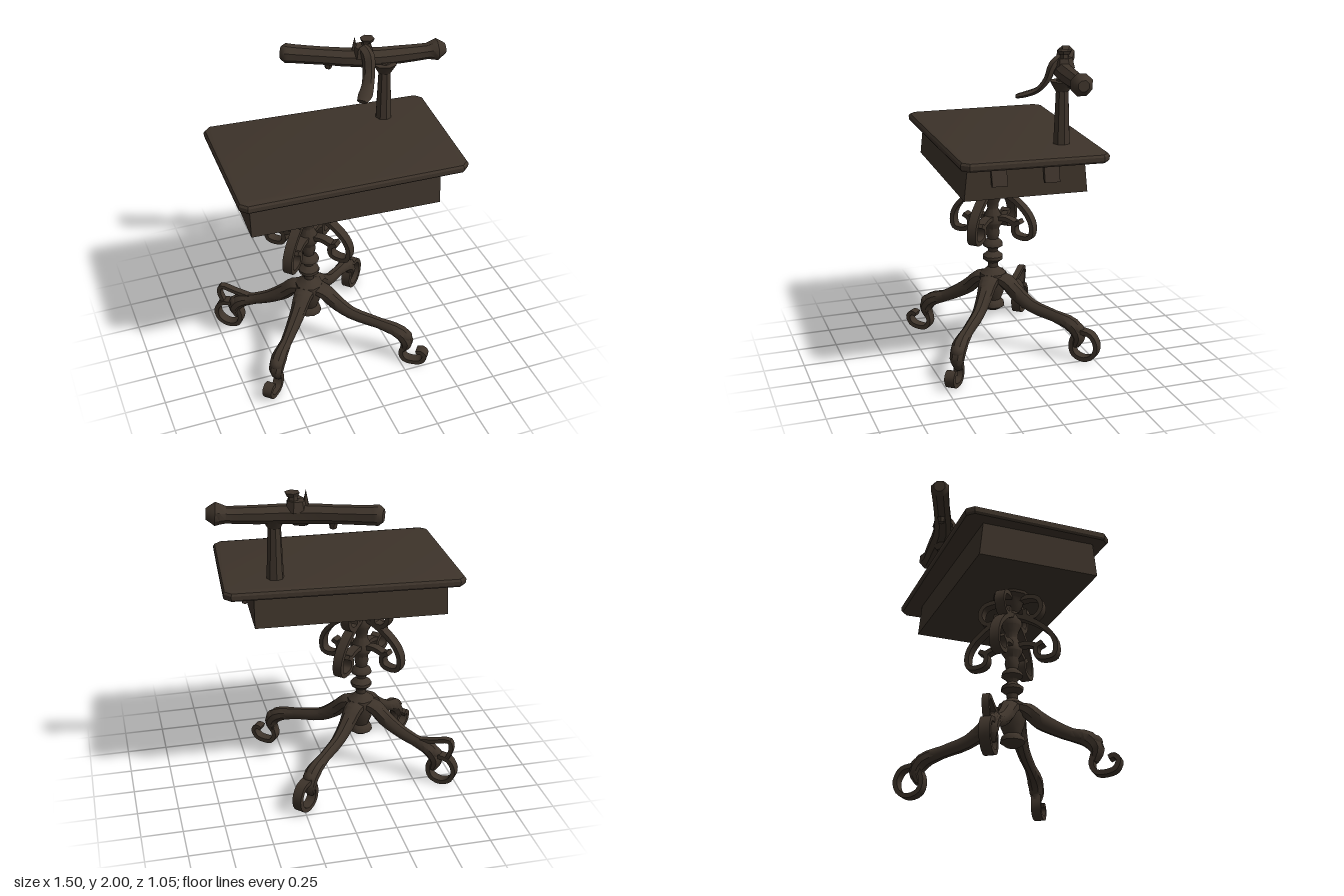
import * as THREE from 'three';
import { toCreasedNormals } from 'three/addons/utils/BufferGeometryUtils.js';

const V = (x, y, z = 0) => new THREE.Vector3(x, y, z);
const AXIS = V(-0.22, 0, 0.015); // pedestal axis

// Sweep a flattened polygon along a path; radii are given per path point.
function sweep(points, rN, rB, { sides = 6, steps = 4, b = V(0, 0, 1) } = {}) {
  const curve = new THREE.CatmullRomCurve3(points);
  const n = (points.length - 1) * steps, pos = [], idx = [];
  const radius = (r, t) => {
    if (typeof r === 'number') return r;
    const f = t * (r.length - 1), i = Math.min(Math.floor(f), r.length - 2);
    return THREE.MathUtils.lerp(r[i], r[i + 1], f - i);
  };
  const k = 1 / Math.cos(Math.PI / sides);
  for (let i = 0; i <= n; i++) {
    const t = i / n, p = curve.getPoint(t), tan = curve.getTangent(t);
    const nor = b.clone().cross(tan).normalize(), bin = tan.clone().cross(nor);
    for (let j = 0; j < sides; j++) {
      const a = ((j + 0.5) / sides) * Math.PI * 2;
      const q = p.clone().addScaledVector(nor, Math.cos(a) * radius(rN, t) * k)
        .addScaledVector(bin, Math.sin(a) * radius(rB, t) * k);
      pos.push(q.x, q.y, q.z);
    }
  }
  const c0 = (n + 1) * sides, c1 = c0 + 1, end = points[points.length - 1];
  pos.push(points[0].x, points[0].y, points[0].z, end.x, end.y, end.z);
  for (let j = 0; j < sides; j++) {
    const m = (j + 1) % sides;
    for (let i = 0; i < n; i++) {
      const a = i * sides, d = a + sides;
      idx.push(a + j, a + m, d + m, a + j, d + m, d + j);
    }
    idx.push(c0, m, j, c1, n * sides + j, n * sides + m);
  }
  const g = new THREE.BufferGeometry();
  g.setAttribute('position', new THREE.Float32BufferAttribute(pos, 3));
  g.setIndex(idx);
  return g;
}

export function createModel() {
  const model = new THREE.Group();
  const iron = new THREE.MeshStandardMaterial({ color: 0x3d332a });
  iron.name = 'darkBrown';

  const add = (parent, name, geo, crease = 0.75) => {
    const mesh = new THREE.Mesh(toCreasedNormals(geo, crease), iron);
    mesh.name = name;
    parent.add(mesh);
    return mesh;
  };
  const path = (list) => list.map((p) => V(...p));

  // Tabletop: slightly skewed slab with clipped corners and a bevelled rim
  const corners = [[-0.72, -0.48], [0.685, -0.395], [0.63, 0.465], [-0.745, 0.425]]
    .map(([x, z]) => new THREE.Vector2(x - Math.sign(x) * 0.03, -z + Math.sign(z) * 0.03));
  const outline = [];
  corners.forEach((c, i) => {
    for (const o of [corners[(i + 3) % 4], corners[(i + 1) % 4]])
      outline.push(c.clone().add(o.clone().sub(c).setLength(0.025)));
  });
  const top = new THREE.ExtrudeGeometry(new THREE.Shape(outline), {
    depth: 0.022, bevelSize: 0.03, bevelThickness: 0.018, bevelSegments: 2,
  });
  top.rotateX(-Math.PI / 2).translate(0, 1.423, 0);
  add(model, 'tabletop', top, 0.5);

  // Drawer box, narrowing toward the top
  const drawer = new THREE.Group();
  drawer.name = 'drawerBox';
  drawer.position.set(-0.085, 1.305, 0.018);
  drawer.rotation.y = -0.045;
  model.add(drawer);
  const box = new THREE.BoxGeometry(1.145, 0.21, 0.735);
  const bp = box.attributes.position;
  for (let i = 0; i < bp.count; i++) if (bp.getY(i) > 0) bp.setZ(i, bp.getZ(i) * 0.94);
  box.computeVertexNormals();
  add(drawer, 'drawerBody', box, 0.3);
  for (const z of [0.17, -0.14]) {
    const tab = add(drawer, 'sideLatch', new THREE.BoxGeometry(0.025, 0.12, 0.09), 0.3);
    tab.position.set(0.595, 0.035, z);
    tab.rotation.z = 0.25;
  }

  // Turned pedestal column
  const profile = [[0, 0.235], [0.04, 0.24], [0.075, 0.265], [0.07, 0.29], [0.05, 0.31], [0.07, 0.36],
    [0.09, 0.46], [0.085, 0.49], [0.06, 0.505], [0.032, 0.53], [0.035, 0.56], [0.066, 0.585], [0.066, 0.605],
    [0.03, 0.635], [0.035, 0.655], [0.066, 0.675], [0.062, 0.695], [0.035, 0.72], [0.045, 0.76], [0.04, 0.79],
    [0.065, 0.83], [0.06, 0.87], [0.035, 0.92], [0.04, 0.96], [0.06, 1.0], [0.06, 1.04], [0.038, 1.09],
    [0.065, 1.13], [0.08, 1.17], [0.11, 1.185], [0.115, 1.205], [0, 1.205]]
    .map(([r, y]) => new THREE.Vector2(r, y));
  add(model, 'pedestalColumn', new THREE.LatheGeometry(profile, 10)).position.copy(AXIS);

  // Four scrolled brackets around the upper column
  const ribbon = { sides: 4, steps: 3 };
  for (let i = 0; i < 4; i++) {
    const bracket = new THREE.Group();
    bracket.name = 'scrollBracket';
    bracket.position.copy(AXIS);
    bracket.rotation.y = Math.PI / 4 + (i * Math.PI) / 2;
    model.add(bracket);
    add(bracket, 'upperScroll', sweep(path([[0.04, 1.16], [0.11, 1.17], [0.175, 1.15], [0.195, 1.09],
      [0.16, 1.035], [0.1, 1.04], [0.09, 1.09]]), 0.014, 0.03, ribbon));
    add(bracket, 'lowerScroll', sweep(path([[0.03, 1.06], [0.1, 1.03], [0.18, 0.98], [0.25, 0.91], [0.28, 0.84],
      [0.27, 0.77], [0.22, 0.757], [0.165, 0.775], [0.16, 0.835], [0.2, 0.86]]), 0.014, 0.03, ribbon));
    add(bracket, 'scrollLink', sweep(path([[0.03, 0.86], [0.1, 0.865], [0.17, 0.84]]), 0.014, 0.028, ribbon));
  }

  // Four curved legs: horizontal reach to the toe, foot style
  const legs = [
    { name: 'frontLeftLeg', dx: 0.62, dz: 0.48, ring: false },
    { name: 'frontRightLeg', dx: -0.44, dz: 0.455, ring: false },
    { name: 'backLeftLeg', dx: 0.53, dz: -0.52, ring: true },
    { name: 'backRightLeg', dx: -0.52, dz: -0.4, ring: true, strut: true },
  ];
  for (const { name, dx, dz, ring, strut } of legs) {
    const leg = new THREE.Group();
    leg.name = name;
    leg.position.copy(AXIS);
    leg.rotation.y = Math.atan2(-dz, dx);
    model.add(leg);
    const L = Math.hypot(dx, dz);
    const K = L - 0.15; // knee distance
    add(leg, 'limb', sweep(path([[0.03, 0.465], [0.1, 0.44], [0.17, 0.375], [0.28, 0.305], [K * 0.74, 0.265],
      [K - 0.03, 0.225], [K + 0.015, 0.16], [K - 0.005, 0.09]]),
      [0.03, 0.045, 0.048, 0.04, 0.036, 0.045, 0.04, 0.02], [0.06, 0.055, 0.045, 0.036, 0.032, 0.045, 0.042, 0.025],
      { sides: 8, steps: 3 }));
    const scroll = ring
      ? [[K, 0.19], [K - 0.03, 0.11], [K - 0.01, 0.04], [K + 0.06, 0.018], [K + 0.12, 0.05], [K + 0.138, 0.12],
        [K + 0.1, 0.185], [K + 0.03, 0.2]]
      : [[K, 0.14], [K - 0.015, 0.07], [K + 0.01, 0.025], [K + 0.065, 0.018], [K + 0.12, 0.035], [K + 0.14, 0.085],
        [K + 0.115, 0.11], [K + 0.085, 0.1]];
    add(leg, 'scrollFoot', sweep(path(scroll), 0.014, 0.03, ribbon));
    const knuckle = new THREE.IcosahedronGeometry(0.05, 1);
    knuckle.scale(1, 0.9, 0.9);
    add(leg, 'knuckle', knuckle).position.set(K, 0.205, 0);
    if (strut) {
      add(leg, 'strut', sweep(path([[K - 0.12, 0.27], [K, 0.295], [K + 0.1, 0.315], [K + 0.115, 0.27],
        [K + 0.09, 0.19]]), 0.013, 0.02, ribbon));
    }
  }

  // Post carrying the crossbar
  const post = new THREE.CylinderGeometry(0.036, 0.052, 0.4, 8);
  add(model, 'post', post).position.set(0.36, 1.64, -0.215);
  add(model, 'postCollar', new THREE.CylinderGeometry(0.075, 0.04, 0.06, 8)).position.set(0.36, 1.8, -0.215);

  // Bent crossbar with bulbous ends
  const bar = path([[-0.21, 1.878, -0.465], [-0.185, 1.878, -0.452], [-0.14, 1.875, -0.432], [0.02, 1.868, -0.36],
    [0.24, 1.86, -0.268], [0.46, 1.858, -0.232], [0.63, 1.862, -0.207], [0.69, 1.868, -0.197], [0.74, 1.87, -0.19]]);
  const barRadii = [0.035, 0.055, 0.052, 0.05, 0.054, 0.05, 0.045, 0.062, 0.03];
  add(model, 'crossbar', sweep(bar, barRadii, barRadii, { sides: 8, steps: 2, b: V(0, 1, 0) }));
  add(model, 'barLug', new THREE.CylinderGeometry(0.03, 0.02, 0.05, 6)).position.set(0.05, 1.81, -0.35);

  // Clamp and curved handle
  const clamp = new THREE.Group();
  clamp.name = 'clamp';
  model.add(clamp);
  add(clamp, 'clampBand', new THREE.CylinderGeometry(0.055, 0.07, 0.06, 7)).position.set(0.24, 1.91, -0.265);
  add(clamp, 'clampStem', new THREE.CylinderGeometry(0.025, 0.03, 0.06, 6)).position.set(0.26, 1.955, -0.265);
  add(clamp, 'clampKnob', new THREE.CylinderGeometry(0.045, 0.035, 0.022, 6)).position.set(0.265, 1.975, -0.265);
  add(clamp, 'clampSpike', new THREE.ConeGeometry(0.02, 0.09, 5)).position.set(0.19, 1.955, -0.28);
  add(clamp, 'handle', sweep(path([[0.225, 1.94, -0.25], [0.245, 1.9, -0.2], [0.24, 1.82, -0.17],
    [0.215, 1.755, -0.12], [0.175, 1.725, -0.06], [0.14, 1.71, -0.02]]),
    [0.02, 0.024, 0.02, 0.016, 0.015, 0.012], [0.03, 0.035, 0.032, 0.032, 0.038, 0.028],
    { sides: 6, steps: 3, b: V(0.85, 0, 0.5).normalize() }));

  return model;
}
